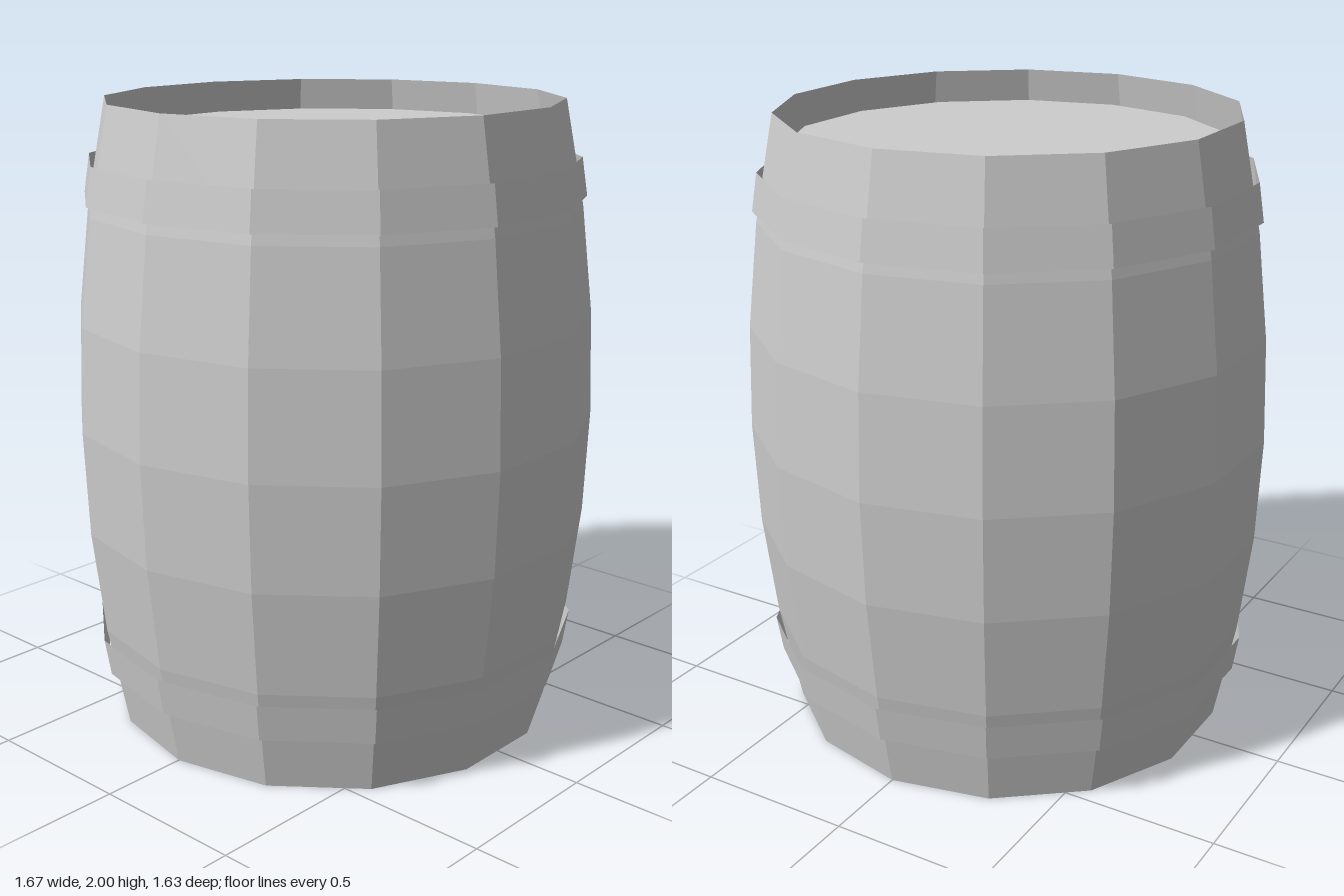
import * as THREE from 'three';

const SIDES = 14;

export function createModel() {
  const barrel = new THREE.Group();
  barrel.name = 'barrel';

  const grey = new THREE.MeshStandardMaterial({ color: 0xcccccc, flatShading: true, side: THREE.DoubleSide });
  grey.name = 'plainGrey';

  const add = (name, geometry) => {
    const mesh = new THREE.Mesh(geometry, grey);
    mesh.name = name;
    barrel.add(mesh);
    return mesh;
  };

  // Open faceted ring from [radius, height] pairs, with a corner on the x axis
  const ring = (profile) =>
    new THREE.LatheGeometry(profile.map(([r, y]) => new THREE.Vector2(r, y)), SIDES, Math.PI / 2);

  // Bulging stave wall, open at both ends
  const wall = [];
  for (let i = 0; i <= 6; i++) {
    const y = i / 3;
    wall.push([0.836 - 0.116 * (y - 1) ** 2, y]);
  }
  add('staves', ring(wall));

  // Thin hoops standing slightly clear of the staves
  add('lowerHoop', ring([[0.776, 0.18], [0.795, 0.3]]));
  add('upperHoop', ring([[0.795, 1.7], [0.776, 1.82]]));

  // Recessed end lids
  for (const [name, y, turn] of [['topLid', 1.9, -1], ['bottomLid', 0.1, 1]]) {
    const lid = add(name, new THREE.CircleGeometry(0.69, SIDES));
    lid.rotation.x = turn * Math.PI / 2;
    lid.position.y = y;
  }

  return barrel;
}
